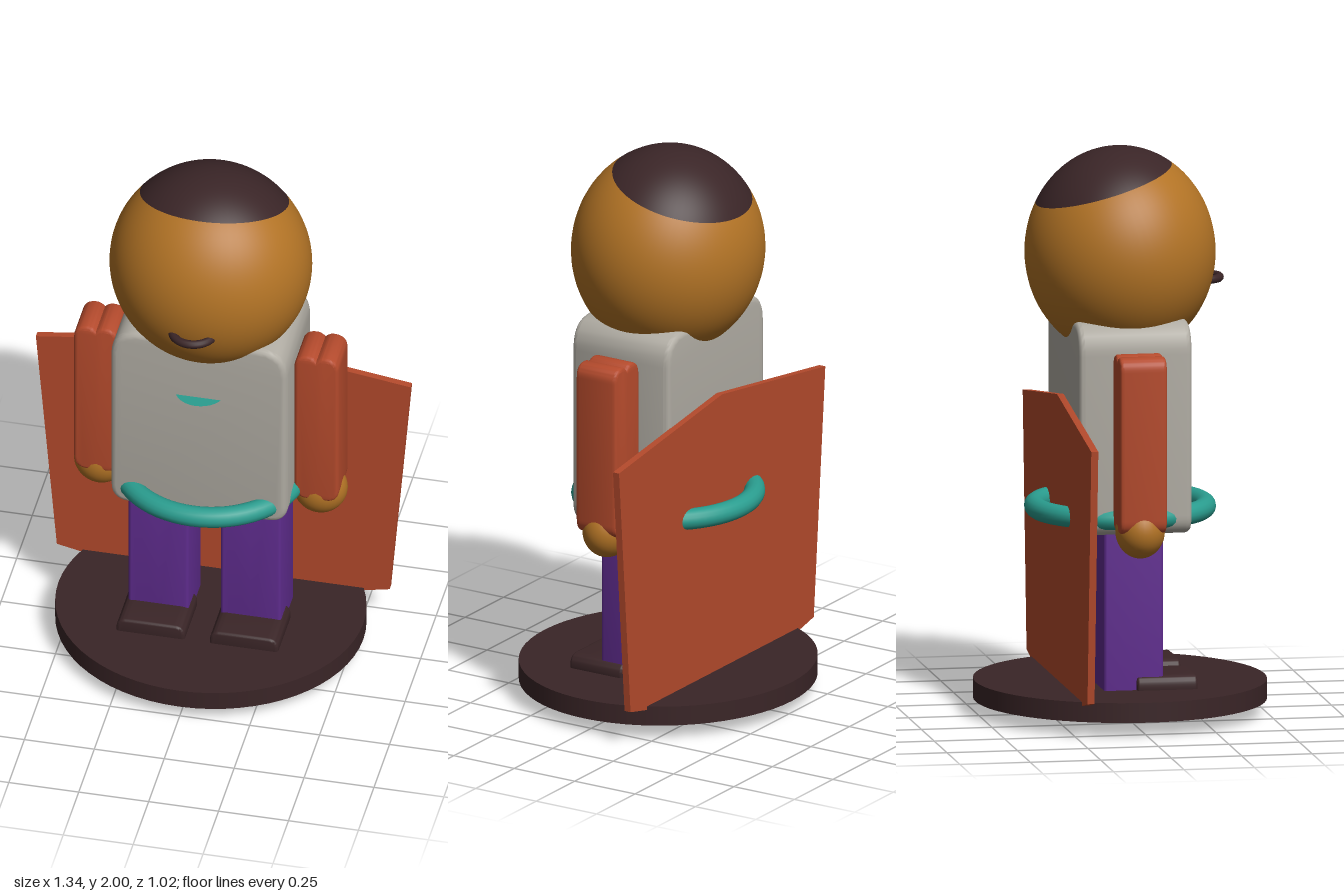
import * as THREE from 'three';
import { toCreasedNormals } from 'three/addons/utils/BufferGeometryUtils.js';

const paint = (name, color) => {
  const m = new THREE.MeshStandardMaterial({ color });
  m.name = name;
  return m;
};

export function createModel() {
  const skin = paint('skin', 0xb27325);
  const dark = paint('dark brown', 0x3a2527);
  const orange = paint('rust orange', 0xb44a2c);
  const purple = paint('purple', 0x5f2c8e);
  const teal = paint('teal', 0x2a9d8f);
  teal.side = THREE.DoubleSide;
  const grey = paint('warm grey', 0xb0aca3);

  const model = new THREE.Group();
  model.name = 'figurine';
  const add = (name, geometry, material, x = 0, y = 0, z = 0) => {
    const mesh = new THREE.Mesh(geometry, material);
    mesh.name = name;
    mesh.position.set(x, y, z);
    model.add(mesh);
    return mesh;
  };

  // Extrudes a front outline to a depth centred on z = 0, with small bevels
  const slab = (shape, depth, bevel) => {
    const g = new THREE.ExtrudeGeometry(shape, {
      depth: depth - 2 * bevel, bevelEnabled: bevel > 0, bevelSize: bevel, bevelThickness: bevel,
      bevelOffset: -bevel, bevelSegments: 3, curveSegments: 10,
    });
    g.translate(0, 0, bevel - depth / 2);
    return toCreasedNormals(g, 0.6);
  };

  // Rounded bar from y0 to y1, with an optional shallow dip in both ends
  const bar = (w, y0, y1, rTop, rBottom, dip) => {
    const h = w / 2, s = new THREE.Shape();
    s.moveTo(-h, y0 + rBottom);
    s.quadraticCurveTo(-h, y0, -h + rBottom, y0);
    if (dip) s.quadraticCurveTo(-h * 0.2, y0, 0, y0 + dip).quadraticCurveTo(h * 0.2, y0, h - rBottom, y0);
    else s.lineTo(h - rBottom, y0);
    s.quadraticCurveTo(h, y0, h, y0 + rBottom);
    s.lineTo(h, y1 - rTop);
    s.quadraticCurveTo(h, y1, h - rTop, y1);
    if (dip) s.quadraticCurveTo(h * 0.2, y1, 0, y1 - dip).quadraticCurveTo(-h * 0.2, y1, -h + rTop, y1);
    else s.lineTo(-h + rTop, y1);
    s.quadraticCurveTo(-h, y1, -h, y1 - rTop);
    return s;
  };

  // Oval stand
  add('base', new THREE.CylinderGeometry(0.545, 0.545, 0.07, 64), dark, 0, 0.085, 0).scale.z = 0.94;

  // Head and hair share one ellipsoid, divided along a tilted circle
  const cap = 0.83, tilt = -0.262;
  const headPart = (start, length) => new THREE.SphereGeometry(1, 64, 40, 0, Math.PI * 2, start, length)
    .rotateX(tilt).scale(0.355, 0.37, 0.333);
  add('head', headPart(cap, Math.PI - cap), skin, 0, 1.63, 0);
  add('hair', headPart(0, cap), dark, 0, 1.63, 0);

  // Mouth: a half ring lying flat, bulging forward
  add('mouth', new THREE.TorusGeometry(0.075, 0.015, 12, 32, Math.PI).rotateX(Math.PI / 2),
    dark, 0, 1.53, 0.277);

  // Torso, belt ring and flat chest badge
  add('torso', slab(bar(0.63, 0.67, 1.42, 0.11, 0.07, 0), 0.4, 0.02), grey);
  add('belt', new THREE.TorusGeometry(0.298, 0.037, 16, 64).rotateX(Math.PI / 2), teal, 0, 0.73, 0).scale.x = 1.04;
  add('chestBadge', new THREE.CircleGeometry(0.09, 32).rotateX(-Math.PI / 2), teal, 0, 1.18, 0.16);

  // Limbs, mirrored
  for (const [side, sx] of [['left', 1], ['right', -1]]) {
    add(side + 'Arm', slab(bar(0.158, 0.7, 1.325, 0.05, 0.05, 0.015), 0.165, 0.012), orange, sx * 0.394);
    add(side + 'Hand', new THREE.SphereGeometry(0.096, 32, 20), skin, sx * 0.392, 0.703, 0).scale.z = 0.9;
    add(side + 'Leg', slab(bar(0.215, 0.02, 0.72, 0.04, 0.05, 0.015), 0.21, 0.01), purple, sx * 0.165);
    add(side + 'Shoe', slab(bar(0.245, 0.1, 0.17, 0.04, 0.01, 0), 0.215, 0.01), dark, sx * 0.167, 0, 0.117);
  }

  // Cape: a flat panel flaring upward behind the body
  const cape = new THREE.Shape([[0, 0], [0.595, 0.13], [0.67, 1.035], [0, 1.13], [-0.67, 1.035], [-0.595, 0.13]]
    .map(([x, y]) => new THREE.Vector2(x, y)));
  add('cape', slab(cape, 0.025, 0), orange, 0, 0, -0.211);

  return model;
}
